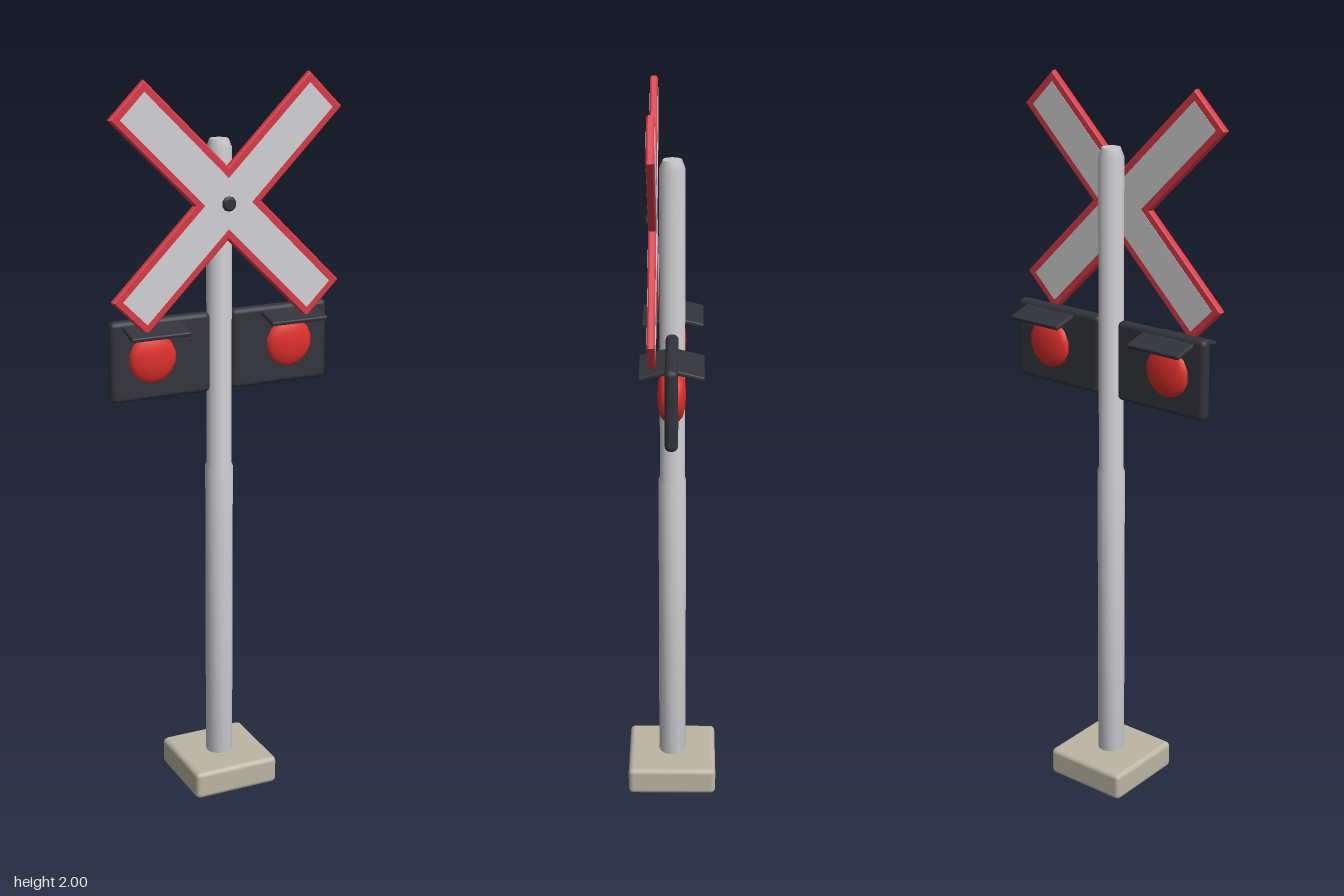
import * as THREE from 'three';
import { RoundedBoxGeometry } from 'three/addons/geometries/RoundedBoxGeometry.js';
import { toCreasedNormals } from 'three/addons/utils/BufferGeometryUtils.js';

const material = (name, color) => {
  const m = new THREE.MeshStandardMaterial({ color });
  m.name = name;
  return m;
};

// Plus-shaped outline: arm half length and half width
function plusShape(l, w) {
  const pts = [];
  for (let i = 0; i < 4; i++) {
    const a = i * Math.PI / 2;
    for (const [x, y] of [[l, -w], [l, w], [w, w]]) {
      pts.push(new THREE.Vector2(x * Math.cos(a) - y * Math.sin(a), x * Math.sin(a) + y * Math.cos(a)));
    }
  }
  return new THREE.Shape(pts);
}

const lathe = (pts, sides, crease = 0.7) => toCreasedNormals(
  new THREE.LatheGeometry(pts.map(([x, y]) => new THREE.Vector2(x, y)), sides), crease);

export function createModel() {
  const model = new THREE.Group();
  model.name = 'railwayCrossingSignal';
  const concrete = material('concrete', 0xbcb6a4);
  const steel = material('paleSteel', 0xc6c6ca);
  const white = material('signWhite', 0xd2d2d4);
  const red = material('signRed', 0xd83a48);
  const lampRed = material('lampRed', 0xe0302c);
  const dark = material('darkHousing', 0x33343b);

  function add(parent, name, geometry, mat, x = 0, y = 0, z = 0) {
    const mesh = new THREE.Mesh(geometry, mat);
    mesh.name = name;
    mesh.position.set(x, y, z);
    parent.add(mesh);
    return mesh;
  }

  // Footing and stepped pole with a chamfered top
  add(model, 'base', new RoundedBoxGeometry(0.25, 0.08, 0.25, 2, 0.014), concrete, 0, 0.04, 0);
  add(model, 'pole', lathe([
    [0, 0.07], [0.038, 0.07], [0.038, 0.945], [0.034, 0.955],
    [0.034, 1.812], [0.025, 1.835], [0, 1.835],
  ], 12), steel);

  // Crossed boards: bevelled red body with white faces on both sides
  const cross = new THREE.Group();
  cross.name = 'crossSign';
  cross.position.set(0, 1.675, 0.05);
  cross.rotation.z = Math.PI / 4;
  model.add(cross);
  const body = new THREE.ExtrudeGeometry(plusShape(0.389, 0.063), {
    depth: 0.012, bevelEnabled: true, bevelThickness: 0.004, bevelSize: 0.004, bevelSegments: 1,
  });
  body.translate(0, 0, -0.006);
  add(cross, 'crossBorder', body, red);
  const face = new THREE.ExtrudeGeometry(plusShape(0.373, 0.047), { depth: 0.002, bevelEnabled: false });
  add(cross, 'crossFaceFront', face, white, 0, 0, 0.009);
  add(cross, 'crossFaceBack', face, white, 0, 0, -0.011);

  // Centre bolt
  const bolt = lathe([[0, 0], [0.02, 0], [0.02, 0.013], [0.014, 0.019], [0, 0.019]], 10);
  add(model, 'bolt', bolt, dark, 0, 1.675, 0.051).rotation.x = Math.PI / 2;

  // Lamp panels, each with a lamp and a visor on both faces
  const panel = new RoundedBoxGeometry(0.285, 0.22, 0.034, 2, 0.014);
  const lamp = lathe([[0.068, 0], [0.067, 0.02], [0.056, 0.029], [0.032, 0.035], [0, 0.037]], 14, 1);
  const visor = new RoundedBoxGeometry(0.166, 0.012, 0.078, 1, 0.004);
  for (const side of [-1, 1]) {
    add(model, side > 0 ? 'leftPanel' : 'rightPanel', panel, dark, side * 0.1735, 1.271, 0);
    for (const dir of [1, -1]) {
      const unit = new THREE.Group();
      unit.name = dir > 0 ? 'frontLamp' : 'backLamp';
      unit.position.set(side * 0.2, 1.275, 0);
      unit.rotation.y = dir > 0 ? 0 : Math.PI;
      model.add(unit);
      add(unit, 'lens', lamp, lampRed).rotation.x = Math.PI / 2;
      add(unit, 'visor', visor, dark, 0, 0.081, 0.046).rotation.x = 0.25;
    }
  }
  return model;
}
